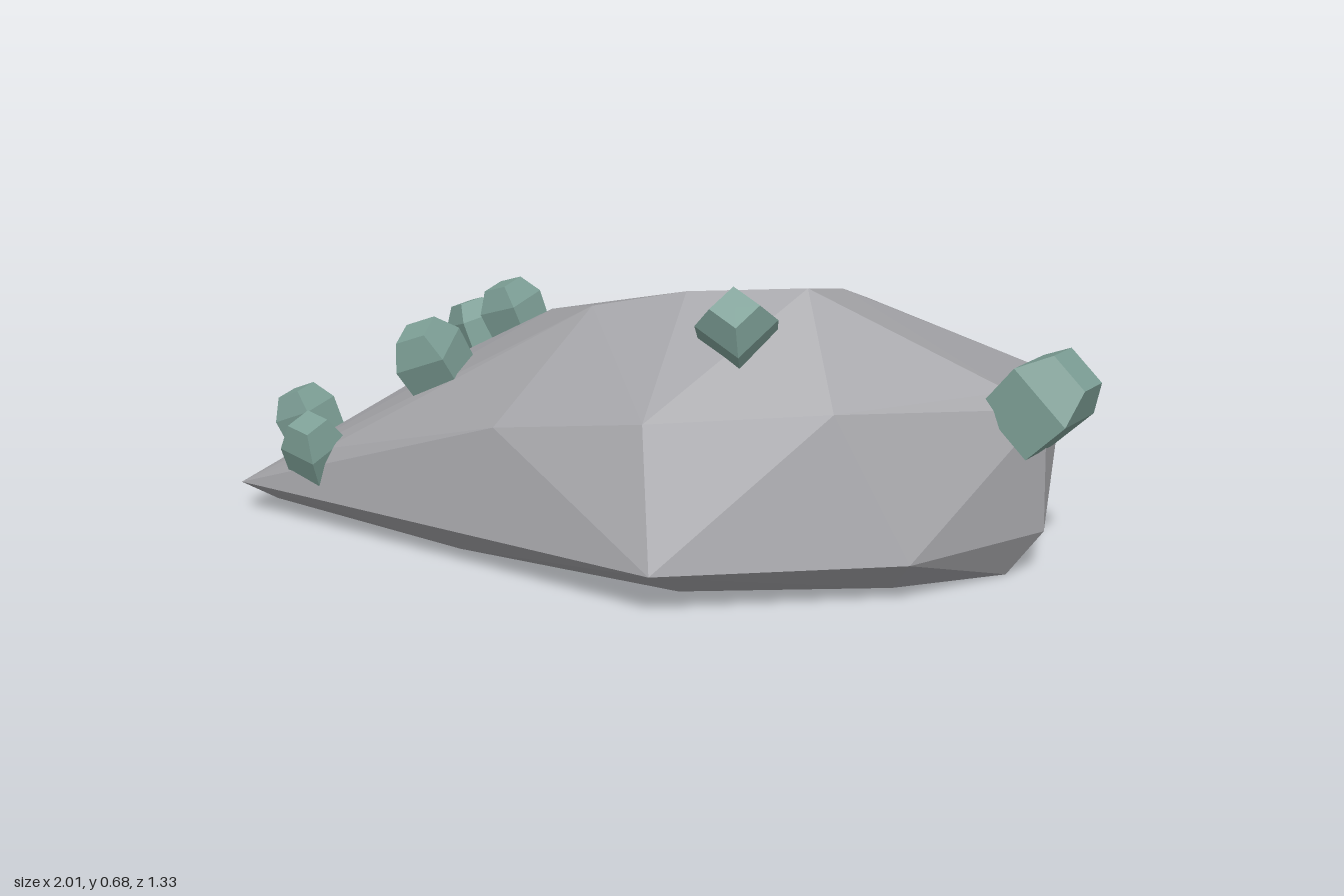
import * as THREE from 'three';
import { ConvexGeometry } from 'three/addons/geometries/ConvexGeometry.js';

const stone = new THREE.MeshStandardMaterial({ color: 0xa2a2a6, flatShading: true });
stone.name = 'grey stone';
const crystalGreen = new THREE.MeshStandardMaterial({ color: 0x7d9f96, flatShading: true });
crystalGreen.name = 'pale green crystal';

const V = (p) => new THREE.Vector3(...p);

// Boulder corners, ring by ring
const base = [
  [-0.94, 0.03, 0.28], [-0.4, 0.02, 0.42], [0.15, 0.01, 0.48], [0.6, 0.01, 0.32], [0.83, 0.01, 0.17],
  [0.86, 0.01, -0.1], [0.6, 0.02, -0.33], [0.1, 0.02, -0.44], [-0.35, 0.03, -0.46], [-0.66, 0.03, -0.35], [-0.87, 0.03, 0],
];
const rim = [
  [-1, 0.09, 0.345], [0.14, 0.12, 0.665], [0.66, 0.12, 0.44], [0.91, 0.125, 0.17],
  [0.64, 0.1, -0.4], [0.12, 0.09, -0.59], [-0.38, 0.09, -0.61], [-0.53, 0.1, -0.55], [-0.79, 0.1, -0.33], [-0.94, 0.09, 0],
];
const shoulder = [
  [-0.28, 0.355, 0.49], [0.08, 0.41, 0.52], [0.48, 0.44, 0.42], [0.82, 0.45, 0.18],
  [0.9, 0.41, 0.16], [0.9, 0.39, -0.14], [0.22, 0.3, -0.51], [-0.5, 0.4, 0.1], [-0.76, 0.21, 0.37],
];
const crown = [
  [-0.27, 0.53, 0.13], [-0.12, 0.59, 0.27], [0.1, 0.64, 0.26], [0.37, 0.66, 0.225],
  [0.42, 0.63, 0.1], [0.45, 0.575, -0.03],
];

// Crystals: centre, axis, side width, length, spin about the axis
const crystals = [
  [[0.9, 0.44, 0.17], [0.65, 0.75, 0.1], 0.17, 0.2, 0.5],
  [[0.24, 0.59, 0.34], [0.1, 0.75, 0.6], 0.13, 0.16, 0.3],
  [[-0.52, 0.43, 0.27], [-0.35, 0.85, 0.3], 0.13, 0.16, 0.8],
  [[-0.41, 0.49, 0.03], [-0.35, 0.9, 0.05], 0.11, 0.13, 0.5],
  [[-0.55, 0.41, -0.06], [-0.35, 0.9, -0.1], 0.1, 0.12, 0.1],
  [[-0.92, 0.2, 0.14], [-0.4, 0.9, 0], 0.11, 0.14, 0.6],
  [[-0.79, 0.2, 0.36], [0, 0.9, 0.35], 0.11, 0.17, 0.4],
  [[-0.46, 0.11, -0.6], [-0.1, 0.85, -0.3], 0.115, 0.16, 0.7],
  [[-0.36, 0.29, -0.43], [0, 0.9, -0.35], 0.11, 0.14, 0.1],
  [[-0.08, 0.16, -0.6], [0, 0.8, -0.5], 0.1, 0.12, 0.3],
];

// Square prism with a bevelled, flat-topped end
function crystalGeometry() {
  const r = Math.SQRT1_2;
  const profile = [[0, -0.5], [r * 0.92, -0.5], [r, 0.12], [r * 0.6, 0.5], [0, 0.5]];
  return new THREE.LatheGeometry(profile.map(([x, y]) => new THREE.Vector2(x, y)), 4);
}

export function createModel() {
  const group = new THREE.Group();
  group.name = 'crystalBoulder';

  const boulder = new THREE.Mesh(
    new ConvexGeometry([...base, ...rim, ...shoulder, ...crown].map(V)), stone);
  boulder.name = 'boulder';
  group.add(boulder);

  const geometry = crystalGeometry();
  crystals.forEach(([centre, axis, width, length, spin], i) => {
    const crystal = new THREE.Mesh(geometry, crystalGreen);
    crystal.name = `crystal${i + 1}`;
    crystal.position.copy(V(centre));
    crystal.quaternion.setFromUnitVectors(new THREE.Vector3(0, 1, 0), V(axis).normalize());
    crystal.rotateY(spin);
    crystal.scale.set(width, length, width);
    group.add(crystal);
  });
  return group;
}
